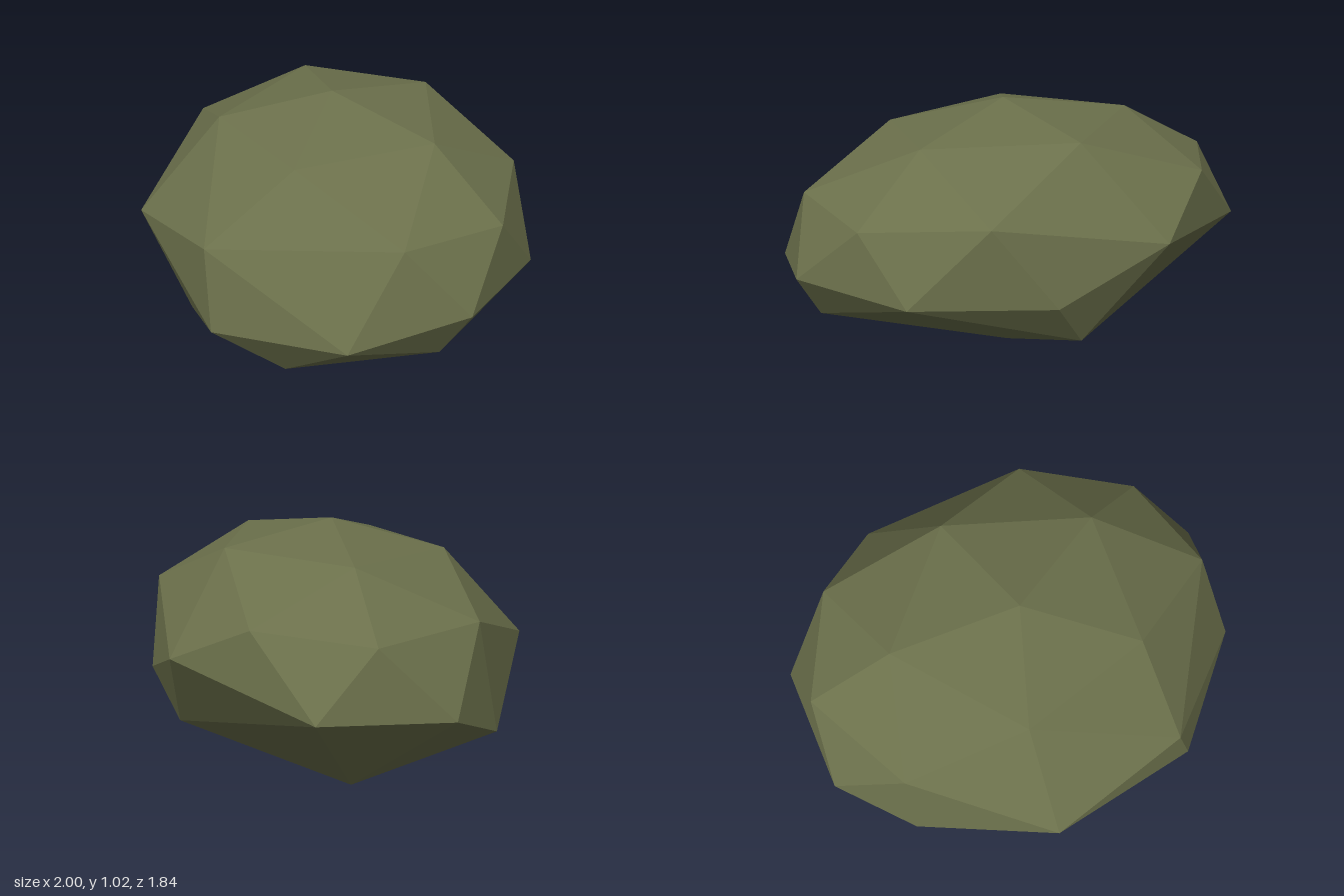
import * as THREE from 'three';
import { ConvexGeometry } from 'three/addons/geometries/ConvexGeometry.js';

export function createModel() {
  const group = new THREE.Group();
  group.name = 'rock';

  const mossStone = new THREE.MeshStandardMaterial({ color: 0x6b704b });
  mossStone.name = 'moss stone';
  mossStone.flatShading = true;

  // Corners of the faceted boulder, in rings from the crown down
  const crown = [
    [0, 1.02, 0], [0.57, 0.92, 0.02], [0.16, 0.945, -0.52],
    [-0.46, 0.935, -0.37], [-0.41, 0.89, 0.31], [0.2, 0.87, 0.51],
  ];
  const shoulder = [
    [0.77, 0.68, 0.52], [0.94, 0.66, 0.05], [0.7, 0.71, -0.45], [-0.33, 0.75, -0.85],
    [-0.78, 0.715, -0.6], [-0.86, 0.71, -0.04], [0, 0.58, 0.86],
  ];
  const waist = [
    [1, 0.39, 0.36], [0.95, 0.385, -0.21], [0.52, 0.35, -0.66], [0.08, 0.555, -0.92],
    [-0.68, 0.44, -0.85], [-1, 0.4, -0.37], [-0.93, 0.22, 0.02], [-0.64, 0.465, 0.62],
    [0.07, 0.23, 0.915], [0.68, 0.29, 0.77],
  ];
  const base = [
    [0.86, 0.17, 0.37], [0.34, 0.13, -0.66], [-0.55, 0.03, -0.49], [-0.51, 0.01, -0.13],
    [0.31, 0, -0.25], [0.31, 0.04, 0.72], [-0.31, 0.08, 0.65],
  ];
  const corners = [...crown, ...shoulder, ...waist, ...base].map((p) => new THREE.Vector3(...p));

  const boulder = new THREE.Mesh(new ConvexGeometry(corners), mossStone);
  boulder.name = 'boulder';
  group.add(boulder);
  return group;
}
